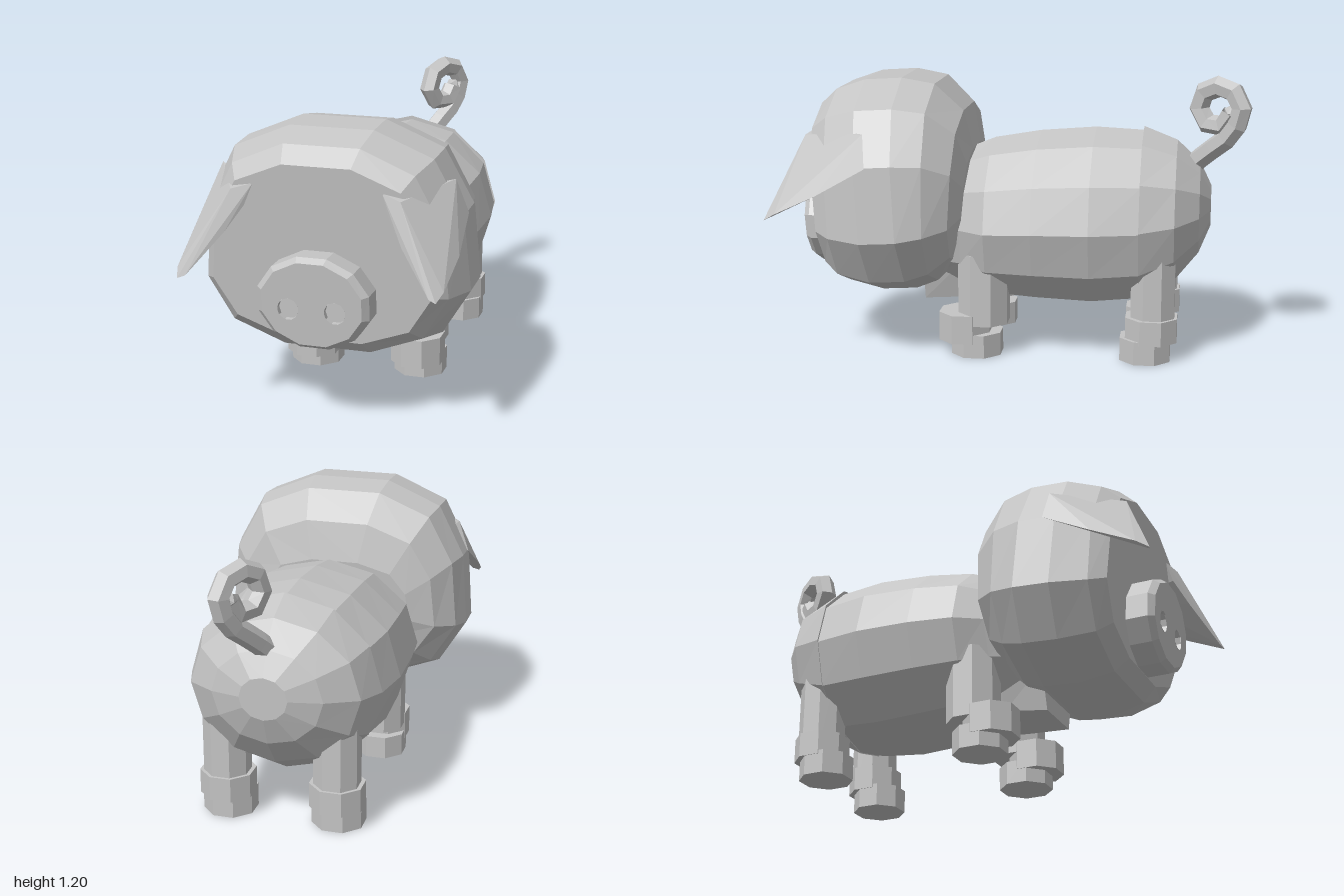
import * as THREE from 'three';
import { ConvexGeometry } from 'three/addons/geometries/ConvexGeometry.js';

const grey = new THREE.MeshStandardMaterial({ color: 0xc4c4c4, side: THREE.DoubleSide });
grey.name = 'grey';

// faceted mesh: unshared corners give flat normals
function part(name, geometry, parent) {
  const g = geometry.index ? geometry.toNonIndexed() : geometry;
  g.computeVertexNormals();
  const mesh = new THREE.Mesh(g, grey);
  mesh.name = name;
  parent.add(mesh);
  return mesh;
}

// complete ring from its right half, listed bottom to top
const mirrorRing = (half) =>
  [...half, ...half.filter(([u]) => u > 0).reverse().map(([u, v]) => [-u, v])];

// skin over sections [zBottom, zTop, halfWidth, bottom, top], front to back
function loft(profile, sections, frontCap = true) {
  const n = profile.length, pos = [], idx = [];
  const add = (s, u, v) => pos.push(u * s[2], s[3] + v * (s[4] - s[3]), s[0] + v * (s[1] - s[0]));
  for (const s of sections) for (const [u, v] of profile) add(s, u, v);
  const last = sections.length - 1, c = sections.length * n;
  add(sections[0], 0, 0.5);
  add(sections[last], 0, 0.5);
  for (let i = 0; i < n; i++) {
    const j = (i + 1) % n;
    for (let k = 0; k < last; k++) {
      const a = k * n, b = a + n;
      idx.push(a + i, b + i, b + j, a + i, b + j, a + j);
    }
    if (frontCap) idx.push(c, i, j);
    idx.push(c + 1, last * n + j, last * n + i);
  }
  const g = new THREE.BufferGeometry();
  g.setAttribute('position', new THREE.Float32BufferAttribute(pos, 3));
  g.setIndex(idx);
  return g;
}

// polygon on an ellipse; shift 0.5 puts flat sides at top and bottom
const ellipse = (n, rx, ry, cx, cy, shift = 0.5) => Array.from({ length: n }, (_, i) => {
  const a = ((i + shift) / n) * Math.PI * 2;
  return new THREE.Vector2(cx + rx * Math.cos(a), cy + ry * Math.sin(a));
});

export function createModel() {
  const pig = new THREE.Group();
  pig.name = 'pig';

  // head with a flat, slightly leaning face
  const headRing = mirrorRing([[0.36, 0], [0.79, 0.1], [1, 0.31], [0.95, 0.65], [0.74, 0.89], [0.31, 1]]);
  part('head', loft(headRing, [
    [0.78, 0.84, 0.45, 0.34, 1.06],
    [0.72, 0.77, 0.5, 0.285, 1.125],
    [0.57, 0.64, 0.555, 0.255, 1.17],
    [0.42, 0.48, 0.559, 0.265, 1.18],
    [0.33, 0.34, 0.53, 0.3, 1.155],
    [0.25, 0.22, 0.45, 0.38, 1.04],
    [0.21, 0.185, 0.34, 0.5, 0.87],
  ]), pig);

  // barrel body, twelve-sided
  const barrelRing = ellipse(12, 1, 0.5, 0, 0.5, 0).map((p) => [p.x, p.y]);
  part('body', loft(barrelRing, [
    [0.35, 0.3, 0.27, 0.29, 0.75],
    [0.22, 0.2, 0.335, 0.25, 0.865],
    [0.1, 0.1, 0.405, 0.21, 0.905],
    [-0.1, -0.1, 0.425, 0.195, 0.94],
    [-0.34, -0.34, 0.432, 0.185, 0.96],
    [-0.55, -0.55, 0.4, 0.205, 0.95],
  ]), pig);

  // flat-bottomed chest under the chin
  const chestRing = mirrorRing([[0.7, 0], [1, 0.45], [0.7, 1]]);
  part('chest', loft(chestRing, [
    [0.4, 0.4, 0.17, 0.197, 0.6],
    [0.22, 0.22, 0.2, 0.215, 0.6],
    [0.02, 0.02, 0.2, 0.23, 0.6],
  ]), pig);

  // rounded rump
  part('rump', loft(barrelRing, [
    [-0.545, -0.545, 0.406, 0.2, 0.967],
    [-0.69, -0.69, 0.355, 0.29, 0.91],
    [-0.79, -0.79, 0.23, 0.415, 0.815],
    [-0.838, -0.838, 0.1, 0.535, 0.715],
  ]), pig);

  // snout wall
  const snoutRing = ellipse(12, 1, 0.5 / Math.cos(Math.PI / 12), 0, 0.5).map((p) => [p.x, p.y]);
  const snout = new THREE.Group();
  snout.name = 'snout';
  pig.add(snout);
  part('snoutWall', loft(snoutRing, [
    [0.9, 0.925, 0.21, 0.36, 0.7],
    [0.875, 0.9, 0.235, 0.342, 0.718],
    [0.72, 0.76, 0.235, 0.342, 0.718],
  ], false), snout);

  // snout front with recessed nostrils
  const shape = new THREE.Shape(ellipse(12, 0.21, 0.17 / Math.cos(Math.PI / 12), 0, 0.53));
  for (const s of [-1, 1]) {
    shape.holes.push(new THREE.Path(ellipse(10, 0.044, 0.046, s * 0.095, 0.505)));
    const wall = new THREE.CylinderGeometry(0.045, 0.045, 0.035, 10, 1, true);
    wall.rotateX(Math.PI / 2).rotateZ(Math.PI / 10).translate(s * 0.095, 0.505, 0.892);
    part('nostrilWall', wall, snout);
    part('nostril', new THREE.CircleGeometry(0.047, 10).translate(s * 0.095, 0.505, 0.885), snout);
  }
  const front = new THREE.ShapeGeometry(shape);
  const p = front.attributes.position;
  for (let i = 0; i < p.count; i++) p.setZ(i, 0.9 + ((p.getY(i) - 0.36) / 0.34) * 0.025);
  part('snoutFront', front, snout);

  // drooping pointed ears
  const earPoints = [
    [0.26, 0.975, 0.83], [0.29, 0.89, 0.85], [0.355, 0.79, 0.9], [0.485, 0.63, 0.99],
    [0.515, 0.62, 1], [0.34, 0.955, 0.86], [0.485, 0.985, 0.58], [0.535, 0.85, 0.565],
    [0.547, 0.735, 0.77], [0.533, 0.65, 0.95], [0.4, 0.9, 0.62],
  ];
  for (const s of [1, -1]) {
    part(s > 0 ? 'leftEar' : 'rightEar',
      new ConvexGeometry(earPoints.map(([x, y, z]) => new THREE.Vector3(s * x, y, z))), pig);
  }

  // legs: [name, radius, leg z, leg bottom, leg top, cuff z, cuff bottom, cuff top, hoof z]
  const legs = [
    ['front', 0.114, 0.12, 0.14, 0.45, 0.2, 0.06, 0.185, 0.15],
    ['back', 0.1, -0.605, 0.09, 0.51, -0.6, 0.085, 0.19, -0.575],
  ];
  for (const s of [1, -1]) {
    for (const [name, r, lz, lb, lt, cz, cb, ct, hz] of legs) {
      const leg = new THREE.Group();
      leg.name = name + (s > 0 ? 'LeftLeg' : 'RightLeg');
      pig.add(leg);
      const post = (label, radius, z, y0, y1) => part(label,
        new THREE.CylinderGeometry(radius, radius, y1 - y0, 8).rotateY(Math.PI / 8)
          .translate(s * 0.236, (y0 + y1) / 2, z), leg);
      post('shank', r, lz, lb, lt);
      post('cuff', 0.118, cz, cb, ct);
      post('hoof', 0.115, hz, 0, 0.1);
    }
  }

  // curled tail in a slanted plane
  const tailPoint = (z, y) => new THREE.Vector3(-(z + 0.74) * 0.6, y, z);
  const path = [tailPoint(-0.74, 0.79), tailPoint(-0.82, 0.87), tailPoint(-0.9, 0.94)];
  for (let i = 0; i < 9; i++) {
    const a = -0.35 + (i * Math.PI) / 4;
    const r = i < 7 ? 0.09 : 0.09 - (i - 6) * 0.02;
    path.push(tailPoint(-0.866 - r * Math.cos(a), 1.064 + r * Math.sin(a)));
  }
  const curve = new THREE.CatmullRomCurve3(path);
  part('tail', new THREE.TubeGeometry(curve, 12, 0.046, 6), pig);
  // tail tip
  const tip = path[path.length - 1];
  part('tailTip', new THREE.IcosahedronGeometry(0.036, 0).translate(tip.x, tip.y, tip.z), pig);

  return pig;
}
